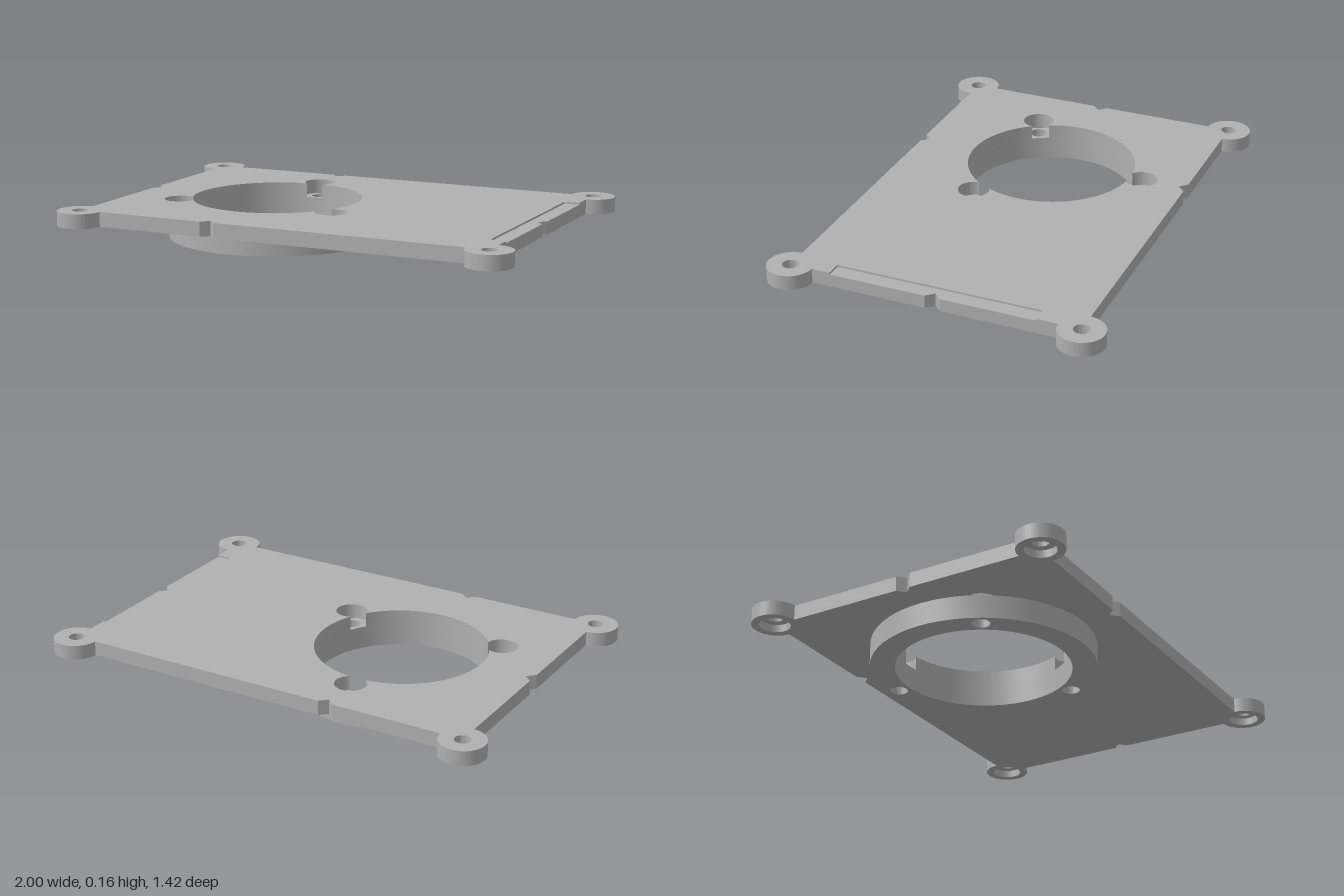
import * as THREE from 'three';
import { toCreasedNormals } from 'three/addons/utils/BufferGeometryUtils.js';

const HX = 0.905, HZ = 0.614;            // plate half sizes, also the ear centres
const EAR = 0.095, EAR_HOLE = 0.033, EAR_BORE = 0.063;
const CX = -0.305;                       // centre of the round opening
const BORE = 0.362, COLLAR = 0.465;
const SCREW_R = 0.415, SCREW = 0.037, SCREW_HEAD = 0.067;
const SCREW_ANGLES = [90, 210, 330].map(THREE.MathUtils.degToRad);
const NOTCH = 0.032;

const circle = (x, y, r) => new THREE.Path().absarc(x, y, r, 0, Math.PI * 2, false);

// Plate outline with four round ears and a small V notch on every side
function plateOutline(recessed) {
  const s = new THREE.Shape();
  const line = (pts) => pts.forEach(([x, y]) => s.lineTo(x, y));
  const ear = (sx, sy, k) =>
    s.absarc(sx * HX, sy * HZ, EAR, (k - 1) * Math.PI / 2, (k + 2) * Math.PI / 2, false);
  ear(1, 1, 0);
  line([[CX + NOTCH, HZ], [CX, HZ - NOTCH], [CX - NOTCH, HZ]]);
  ear(-1, 1, 1);
  line([[-HX, NOTCH], [-HX + NOTCH, 0], [-HX, -NOTCH]]);
  ear(-1, -1, 2);
  line([[CX - NOTCH, -HZ], [CX, -HZ + NOTCH], [CX + NOTCH, -HZ]]);
  ear(1, -1, 3);
  if (recessed) line([[HX, -0.44], [0.84, -0.44], [0.84, 0.43], [HX, 0.43]]);
  else line([[HX, -NOTCH], [HX - NOTCH, 0], [HX, NOTCH]]);
  s.closePath();
  return s;
}

// Round opening joined with the three screw head pockets
function openingPath() {
  const d = SCREW_R, r = SCREW_HEAD, R = BORE;
  const t = Math.acos((d * d + R * R - r * r) / (2 * d * R));
  const p = Math.acos((d * d + r * r - R * R) / (2 * d * r));
  const path = new THREE.Path();
  for (const a of SCREW_ANGLES) {
    path.absarc(CX, 0, R, a - Math.PI * 2 / 3 + t, a - t, false);
    path.absarc(CX + d * Math.cos(a), d * Math.sin(a), r, a + Math.PI + p, a + Math.PI * 3 - p, false);
  }
  return path;
}

// Upright extrusion of a flat shape between two heights
function slab(name, shape, y0, y1, material) {
  const g = new THREE.ExtrudeGeometry(shape, { depth: y1 - y0, bevelEnabled: false, curveSegments: 40 });
  g.rotateX(-Math.PI / 2);
  g.translate(0, y0, 0);
  const mesh = new THREE.Mesh(toCreasedNormals(g, 0.5), material);
  mesh.name = name;
  return mesh;
}

function plateLayer(name, y0, y1, holeRadius, recessed, material) {
  const shape = plateOutline(recessed);
  shape.holes.push(openingPath());
  for (const sx of [-1, 1]) for (const sy of [-1, 1])
    shape.holes.push(circle(sx * HX, sy * HZ, holeRadius));
  return slab(name, shape, y0, y1, material);
}

export function createModel() {
  const model = new THREE.Group();
  model.name = 'mountingPlate';
  const grey = new THREE.MeshStandardMaterial({ color: 0xb0b0b0 });
  grey.name = 'grey';

  // Plate: wide ear bores below, narrow holes above, shallow edge recess on top
  model.add(
    plateLayer('plateBottom', 0.098, 0.13, EAR_BORE, false, grey),
    plateLayer('plateMiddle', 0.13, 0.152, EAR_HOLE, false, grey),
    plateLayer('plateTop', 0.152, 0.16, EAR_HOLE, true, grey)
  );

  // Collar under the plate with three screw holes
  const ring = new THREE.Shape().absarc(CX, 0, COLLAR, 0, Math.PI * 2, false);
  ring.holes.push(circle(CX, 0, BORE));
  for (const a of SCREW_ANGLES)
    ring.holes.push(circle(CX + SCREW_R * Math.cos(a), SCREW_R * Math.sin(a), SCREW));
  model.add(slab('collar', ring, 0, 0.098, grey));

  return model;
}
